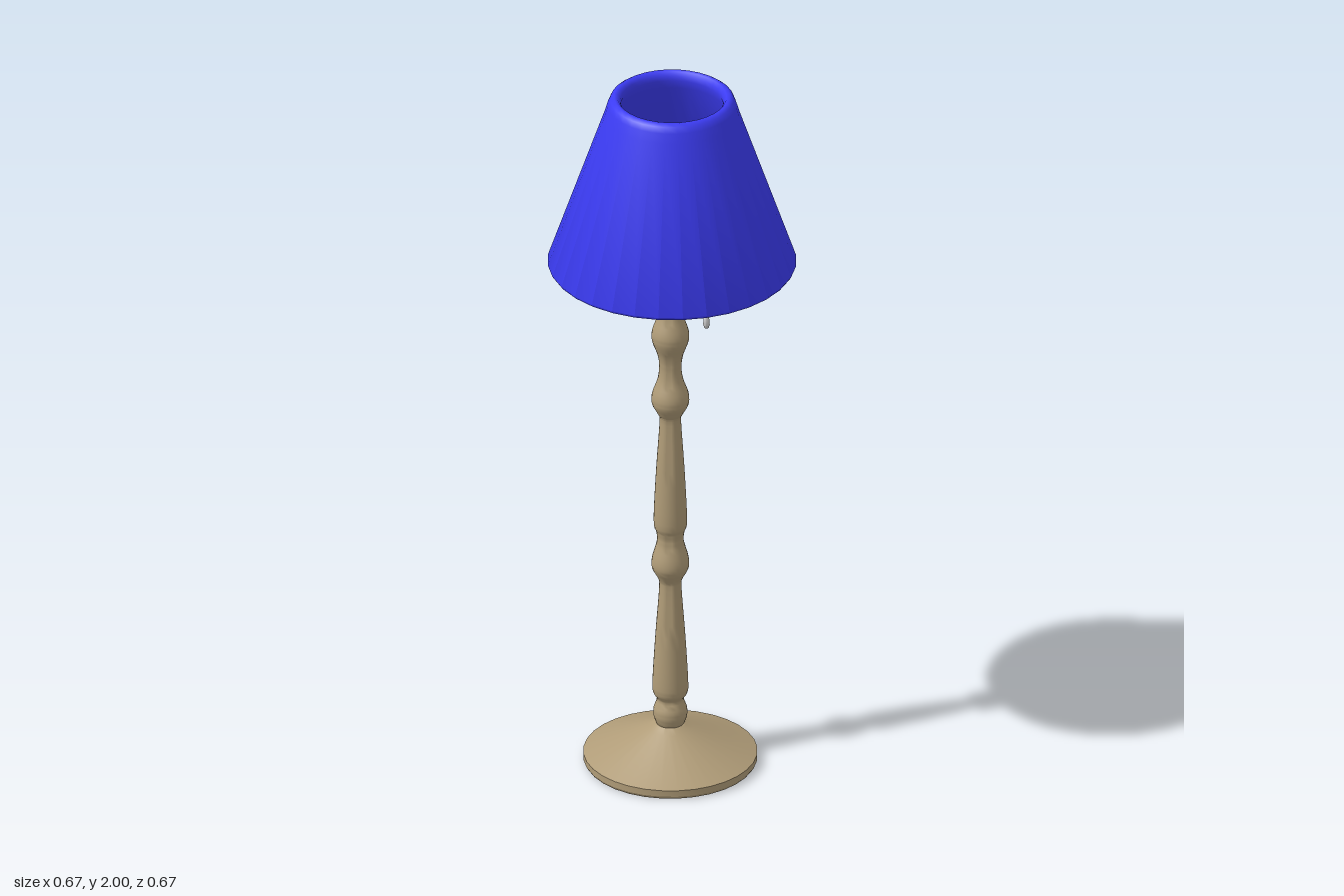
import * as THREE from 'three';
import { toCreasedNormals } from 'three/addons/utils/BufferGeometryUtils.js';

const paint = (color) => new THREE.MeshStandardMaterial({ color });
const wood = paint(0xb09c78);
const fabric = paint(0x3c3cf5);
const black = paint(0x0a0a0a);
const metal = paint(0xcccccc);

function part(name, geometry, material, x = 0, y = 0, z = 0) {
  const mesh = new THREE.Mesh(geometry, material);
  mesh.name = name;
  mesh.position.set(x, y, z);
  return mesh;
}

// Turned shape from [radius, height] pairs, listed from the bottom up
function turned(profile, sides = 32, crease = 0.7) {
  const points = profile.map(([r, y]) => new THREE.Vector2(r, y));
  return toCreasedNormals(new THREE.LatheGeometry(points, sides), crease);
}

// Smooth curve through [radius, height] pairs
function smooth(profile, steps) {
  const curve = new THREE.SplineCurve(profile.map(([r, y]) => new THREE.Vector2(r, y)));
  return curve.getPoints(steps).map((p) => [p.x, p.y]);
}

export function createModel() {
  const lamp = new THREE.Group();
  lamp.name = 'floorLamp';

  // Stand, socket and fittings share one axis
  const stand = new THREE.Group();
  stand.name = 'stand';
  stand.position.set(-0.004, 0, 0.004);
  lamp.add(stand);

  // Shallow conical foot
  stand.add(part('base', turned([
    [0, 0], [0.228, 0], [0.233, 0.008], [0.233, 0.026], [0.06, 0.1], [0.04, 0.112], [0, 0.112],
  ], 32, 0.4), wood));

  // Turned column with beads and tapered lengths
  const column = smooth([
    [0.034, 0.105], [0.044, 0.13], [0.045, 0.155], [0.036, 0.185], [0.046, 0.205], [0.048, 0.24],
    [0.04, 0.38], [0.03, 0.52], [0.034, 0.55], [0.049, 0.58], [0.049, 0.61], [0.036, 0.66],
    [0.038, 0.69], [0.045, 0.725], [0.038, 0.88], [0.029, 1.02], [0.034, 1.045], [0.049, 1.075],
    [0.049, 1.105], [0.034, 1.15], [0.03, 1.19], [0.035, 1.225], [0.049, 1.265], [0.049, 1.295],
    [0.034, 1.34], [0.03, 1.37], [0.03, 1.5], [0.036, 1.54], [0.049, 1.59], [0.052, 1.625],
  ], 116);
  stand.add(part('column', turned([...column, [0.047, 1.632], [0, 1.632]], 24), wood));

  // Hollow bulb socket
  stand.add(part('socket', turned([
    [0.042, 1.63], [0.042, 1.7], [0.036, 1.7], [0.036, 1.645], [0, 1.645],
  ], 24), black));

  // Ring and two flat arms that carry the shade
  const ring = part('shadeRing', new THREE.TorusGeometry(0.272, 0.008, 8, 48), metal, 0, 1.59, 0);
  ring.rotation.x = Math.PI / 2;
  lamp.add(ring);
  for (const side of [-1, 1]) {
    lamp.add(part(side > 0 ? 'leftArm' : 'rightArm',
      new THREE.BoxGeometry(0.235, 0.008, 0.015), metal, side * 0.155, 1.59, 0.004));
  }

  // Pull cord with a teardrop handle
  const pull = new THREE.Group();
  pull.name = 'pullSwitch';
  pull.position.set(0.093, 0, 0.004);
  pull.add(part('cord', new THREE.CylinderGeometry(0.003, 0.003, 0.25, 8), metal, 0, 1.475, 0));
  pull.add(part('cordHandle', turned([
    [0, 1.306], [0.006, 1.309], [0.009, 1.319], [0.008, 1.332], [0.004, 1.358], [0, 1.364],
  ], 12, 1.2), metal));
  lamp.add(pull);

  // Thick tapered shade with a rounded top rim
  lamp.add(part('shade', turned([
    [0.312, 1.502], [0.318, 1.497], [0.328, 1.497], [0.333, 1.505], [0.18, 1.95], [0.172, 1.977],
    [0.165, 1.993], [0.155, 2], [0.146, 1.998], [0.139, 1.988], [0.137, 1.975], [0.144, 1.95],
    [0.312, 1.502],
  ], 32, 0.9), fabric));

  return lamp;
}
